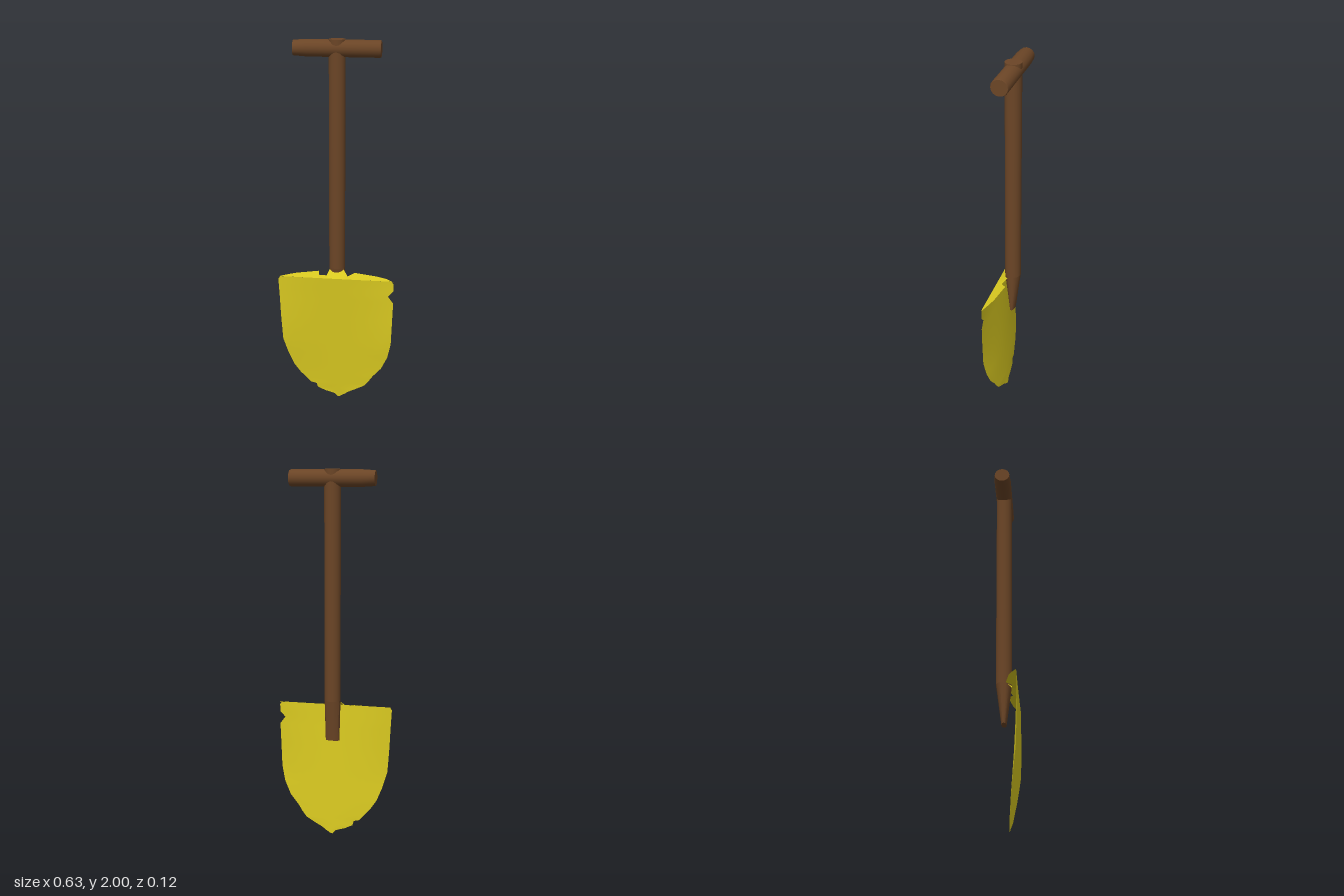
import * as THREE from 'three';
import { toCreasedNormals } from 'three/addons/utils/BufferGeometryUtils.js';

const wood = new THREE.MeshStandardMaterial({ color: 0x6b4526 });
const paint = new THREE.MeshStandardMaterial({ color: 0xd8c820, side: THREE.DoubleSide });

function addMesh(group, name, geometry, material) {
  const mesh = new THREE.Mesh(geometry, material);
  mesh.name = name;
  group.add(mesh);
  return mesh;
}

// Thin sheet over a rows x cols grid, each point given by pointAt(row, col)
function sheet(rows, cols, pointAt) {
  const position = [], index = [];
  for (let r = 0; r < rows; r++) {
    for (let c = 0; c < cols; c++) {
      position.push(...pointAt(r, c));
      if (r === 0 || c === 0) continue;
      const d = r * cols + c, b = d - cols;
      index.push(b - 1, b, d, b - 1, d, d - 1);
    }
  }
  const geometry = new THREE.BufferGeometry();
  geometry.setAttribute('position', new THREE.Float32BufferAttribute(position, 3));
  geometry.setIndex(index);
  geometry.computeVertexNormals();
  return geometry;
}

export function createModel() {
  const shovel = new THREE.Group();
  shovel.name = 'shovel';
  const cx = -0.003, cz = -0.015, radius = 0.043;

  // Round shaft
  const shaft = new THREE.CylinderGeometry(radius, radius, 1.22, 28);
  addMesh(shovel, 'shaft', shaft, wood).position.set(cx, 1.39, cz);

  // Lower end of the shaft, flattened to a wedge behind the blade
  const wedge = new THREE.CylinderGeometry(radius, radius, 0.225, 28);
  const p = wedge.attributes.position;
  for (let i = 0; i < p.count; i++) {
    if (p.getY(i) < 0) p.setXYZ(i, p.getX(i) * 0.88, p.getY(i), p.getZ(i) * 0.32);
  }
  addMesh(shovel, 'shaftWedge', toCreasedNormals(wedge, 0.7), wood).position.set(cx, 0.6675, cz);

  // Cross grip with slightly worn ends
  const gripProfile = [
    [0, -0.228], [0.041, -0.228], [0.046, -0.16], [0.046, 0.215], [0.043, 0.222], [0, 0.222],
  ].map(([r, y]) => new THREE.Vector2(r, y));
  const grip = new THREE.LatheGeometry(gripProfile, 16);
  grip.rotateZ(-Math.PI / 2);
  grip.scale(1, 0.96, 1);
  addMesh(shovel, 'grip', toCreasedNormals(grip, 0.7), wood).position.set(0, 1.954, cz);

  // Blade: rows of [height, left edge, right edge], with chips in the rim
  const bladeRows = [
    [0, 0.005, 0.012], [0.02, -0.015, 0.045], [0.035, -0.065, 0.065], [0.055, -0.108, 0.105],
    [0.08, -0.115, 0.15], [0.087, -0.145, 0.158], [0.114, -0.17, 0.18], [0.15, -0.203, 0.204],
    [0.204, -0.24, 0.25], [0.28, -0.27, 0.285], [0.365, -0.295, 0.303], [0.5, -0.304, 0.308],
    [0.61, -0.309, 0.312], [0.648, -0.311, 0.283], [0.68, -0.313, 0.312], [0.72, -0.315, 0.312],
    [0.735, -0.305, 0.302],
  ];
  const cols = 13;
  const blade = sheet(bladeRows.length, cols, (r, c) => {
    const [y, x0, x1] = bladeRows[r];
    const u = c / (cols - 1) * 2 - 1;
    const middle = 0.012 + 0.049 * y / 0.735;
    const rim = 0.012 + 0.05 * Math.min(1, y / 0.38);
    return [THREE.MathUtils.lerp(x0, x1, (u + 1) / 2), y, THREE.MathUtils.lerp(middle, rim, u * u)];
  });
  addMesh(shovel, 'blade', blade, paint);

  // Foot tread folded back from the top of the blade: [x, back z, back height]
  const tread = [
    [-0.31, 0.06, 0.735], [-0.27, 0.039, 0.739], [-0.22, 0.02, 0.744], [-0.1, 0.0, 0.754],
    [-0.095, 0.03, 0.741], [-0.055, 0.03, 0.741], [-0.04, 0.005, 0.77], [0.035, 0.005, 0.77],
    [0.06, 0.03, 0.741], [0.095, 0.0, 0.752], [0.22, 0.022, 0.745], [0.27, 0.039, 0.741],
    [0.312, 0.06, 0.732],
  ];
  const treadSheet = sheet(2, tread.length, (r, c) => {
    const [x, z, y] = tread[c];
    return r === 0 ? [x, 0.735, 0.061] : [x, y, z];
  });
  addMesh(shovel, 'footTread', treadSheet, paint);

  return shovel;
}
